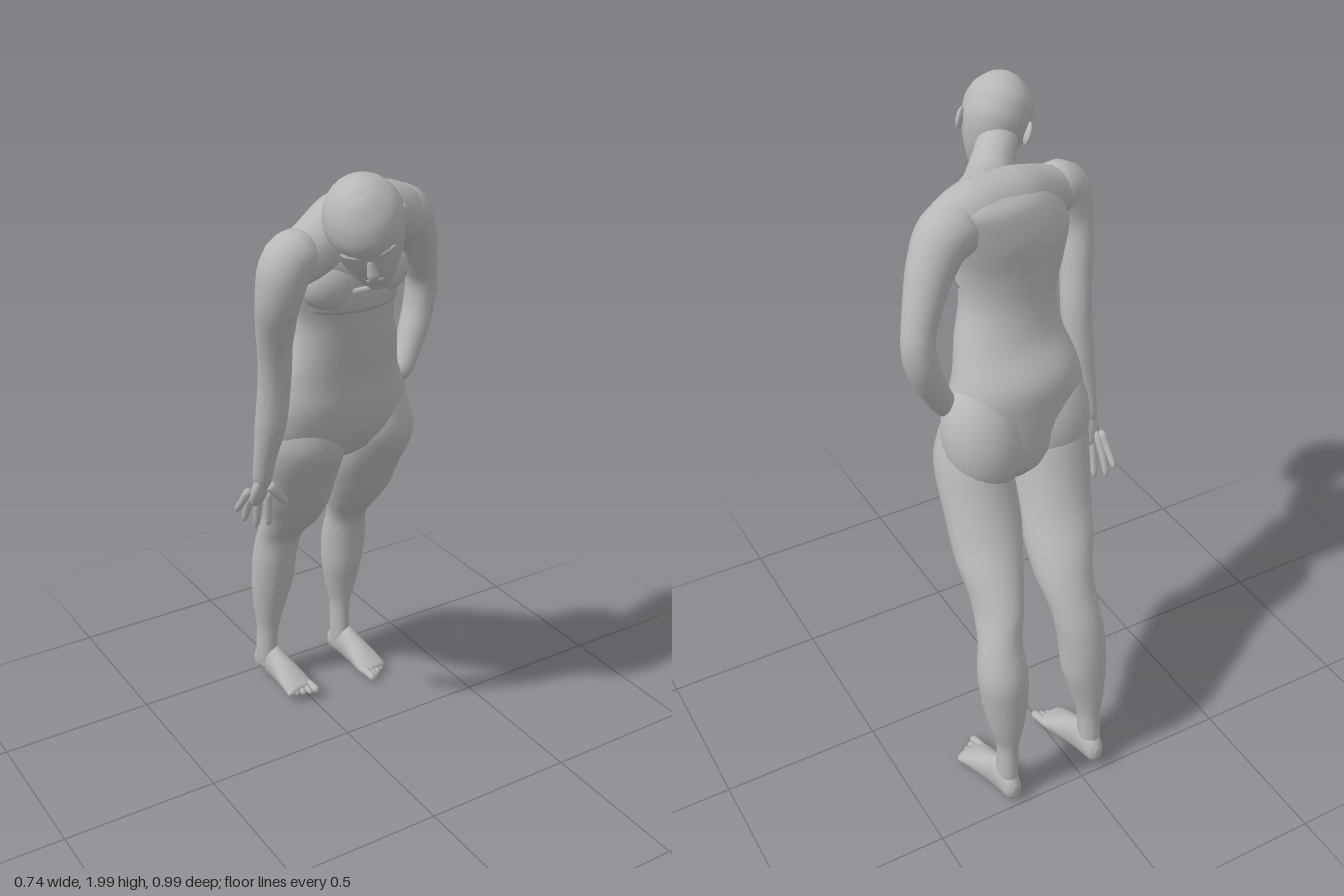
import * as THREE from 'three';
import { mergeVertices } from 'three/addons/utils/BufferGeometryUtils.js';

const skin = new THREE.MeshStandardMaterial({ color: 0xb8b8b8 });
skin.name = 'plain grey';

// Welds seams so that the normals are smooth all round
function smooth(geo) {
  geo.deleteAttribute('uv');
  geo.deleteAttribute('normal');
  const g = mergeVertices(geo, 1e-5);
  g.computeVertexNormals();
  return g;
}

function add(parent, name, geo) {
  const mesh = new THREE.Mesh(geo, skin);
  mesh.name = name;
  parent.add(mesh);
  return mesh;
}

// Horizontal ellipses joined along y; station = [y, cx, cz, rx, rz, yaw]
function loft(stations, steps = 28, sides = 24) {
  const list = stations[0][0] > stations.at(-1)[0] ? [...stations].reverse() : stations;
  const centre = new THREE.CatmullRomCurve3(list.map(s => new THREE.Vector3(s[1], s[0], s[2])));
  const size = new THREE.CatmullRomCurve3(list.map(s => new THREE.Vector3(s[3], s[4], s[5] || 0)));
  const pos = [], idx = [];
  for (let k = 0; k <= steps + 2; k++) {
    const t = Math.min(1, Math.max(0, (k - 1) / steps));
    const c = centre.getPoint(t), r = size.getPoint(t);
    const end = k === 0 || k === steps + 2 ? 0 : 1;
    for (let j = 0; j < sides; j++) {
      const a = j / sides * Math.PI * 2;
      const u = end * r.x * Math.cos(a), v = end * r.y * Math.sin(a);
      pos.push(c.x + u * Math.cos(r.z) + v * Math.sin(r.z), c.y, c.z - u * Math.sin(r.z) + v * Math.cos(r.z));
      if (k < steps + 2) {
        const p = k * sides + j, q = k * sides + (j + 1) % sides;
        idx.push(p, p + sides, q, q, p + sides, q + sides);
      }
    }
  }
  const g = new THREE.BufferGeometry();
  g.setAttribute('position', new THREE.Float32BufferAttribute(pos, 3));
  g.setIndex(idx);
  return smooth(g);
}

// Tapered tube with round ends; radii are spread evenly along the path
function limb(points, radii, cap = 0.12, segs = 28, sides = 14) {
  const curve = new THREE.CatmullRomCurve3(points.map(p => new THREE.Vector3(...p)));
  const g = new THREE.TubeGeometry(curve, segs, 1, sides);
  const p = g.attributes.position, v = new THREE.Vector3();
  for (let i = 0; i < p.count; i++) {
    const t = Math.floor(i / (sides + 1)) / segs;
    const f = t * (radii.length - 1), n = Math.min(radii.length - 2, Math.floor(f));
    const e = Math.min(1, Math.min(t, 1 - t) / cap);
    const r = THREE.MathUtils.lerp(radii[n], radii[n + 1], f - n) * Math.sqrt(1 - (1 - e) ** 2);
    const c = curve.getPointAt(t);
    v.fromBufferAttribute(p, i).sub(c).multiplyScalar(r).add(c);
    p.setXYZ(i, v.x, v.y, v.z);
  }
  return smooth(g);
}

function blob(parent, name, [x, y, z], [rx, ry, rz]) {
  const m = add(parent, name, smooth(new THREE.SphereGeometry(1, 24, 16).scale(rx, ry, rz)));
  m.position.set(x, y, z);
  return m;
}

function makeHead() {
  const head = new THREE.Group();
  head.name = 'head';
  add(head, 'skull', loft([
    [0.122, 0, 0, 0.012, 0.012], [0.11, 0, 0, 0.045, 0.05], [0.07, 0, 0, 0.087, 0.095],
    [0.02, 0, 0, 0.104, 0.118], [-0.03, 0, 0.002, 0.101, 0.117], [-0.07, 0, 0.012, 0.09, 0.106],
    [-0.11, 0, 0.028, 0.073, 0.086], [-0.145, 0, 0.048, 0.053, 0.06], [-0.172, 0, 0.066, 0.028, 0.03],
  ]));
  add(head, 'nose', limb([[0, -0.015, 0.108], [0, -0.045, 0.122], [0, -0.068, 0.129], [0, -0.08, 0.11]],
    [0.008, 0.011, 0.016, 0.013], 0.2, 12, 10));
  blob(head, 'lips', [0, -0.108, 0.107], [0.026, 0.012, 0.012]);
  blob(head, 'chin', [0, -0.15, 0.085], [0.03, 0.023, 0.022]);
  for (const s of [-1, 1]) {
    blob(head, 'brow', [s * 0.04, -0.01, 0.099], [0.032, 0.01, 0.012]).rotation.y = s * 0.4;
    blob(head, 'eye', [s * 0.038, -0.034, 0.096], [0.02, 0.011, 0.01]).rotation.y = s * 0.4;
    const ear = blob(head, 'ear', [s * 0.1, -0.045, -0.025], [0.01, 0.034, 0.021]);
    ear.rotation.set(-0.2, s * -0.4, 0);
  }
  // Turned to its right, bowed and slightly tilted
  head.rotation.set(0.62, -0.46, 0.25, 'YXZ');
  head.position.set(-0.19, 1.877, 0.382);
  return head;
}

// side is +1 for left; the big toe lies on the inner edge
function makeFoot(side, x, y, z, yaw) {
  const foot = new THREE.Group();
  foot.name = side > 0 ? 'leftFoot' : 'rightFoot';
  const sole = loft([
    [0, 0, -0.045, 0.012, 0.02], [0.015, 0, -0.047, 0.028, 0.043], [0.05, 0, -0.06, 0.033, 0.06],
    [0.09, 0, -0.06, 0.034, 0.064], [0.13, 0, -0.05, 0.039, 0.055], [0.18, 0, -0.037, 0.048, 0.041],
    [0.22, 0, -0.025, 0.052, 0.027], [0.25, 0, -0.017, 0.046, 0.015],
  ]).rotateX(Math.PI / 2);
  const p = sole.attributes.position;
  for (let i = 0; i < p.count; i++) p.setY(i, Math.max(0, p.getY(i)));
  sole.computeVertexNormals();
  add(foot, 'sole', sole);
  for (let i = 0; i < 5; i++) {
    const tx = side * (-0.037 + i * 0.02), r = i === 0 ? 0.014 : 0.0105;
    add(foot, 'toe', limb([[tx, 0.022, 0.21], [tx, 0.022, 0.25 - i * 0.007], [tx, r, 0.29 - i * 0.011]],
      [r, r, r], 0.2, 10, 8));
  }
  foot.position.set(x, y, z);
  foot.rotation.y = yaw;
  return foot;
}

export function createModel() {
  const body = new THREE.Group();
  body.name = 'standingFigure';

  // Trunk, leaning forward with the shoulders twisted against the hips
  add(body, 'torso', loft([
    [1.85, 0.05, 0.035, 0.06, 0.04, 0.28], [1.8, 0.01, 0.045, 0.175, 0.108, 0.3],
    [1.7, -0.045, 0.05, 0.198, 0.127, 0.28], [1.6, -0.048, 0.05, 0.177, 0.124, 0.25],
    [1.5, -0.03, 0.036, 0.155, 0.118, 0.2], [1.4, -0.013, 0.005, 0.171, 0.122, 0.14],
    [1.3, -0.01, -0.042, 0.2, 0.14, 0.1], [1.2, 0, -0.056, 0.229, 0.135, 0.07],
    [1.1, 0.017, -0.076, 0.237, 0.118, 0.05], [1.03, 0.027, -0.098, 0.17, 0.088, 0.05],
    [0.99, 0.035, -0.11, 0.08, 0.045, 0.05],
  ], 44, 32));
  add(body, 'shoulderGirdle', limb(
    [[-0.335, 1.69, 0.17], [-0.2, 1.73, 0.128], [-0.04, 1.77, 0.06], [0.1, 1.775, 0.03], [0.22, 1.735, 0.005]],
    [0.06, 0.078, 0.093, 0.09, 0.07], 0.12, 36, 20));
  add(body, 'neck', limb(
    [[-0.18, 1.85, 0.34], [-0.11, 1.79, 0.265], [-0.04, 1.757, 0.175], [0.02, 1.755, 0.095], [0.07, 1.75, 0.03]],
    [0.06, 0.062, 0.072, 0.088, 0.09], 0.12, 28, 20));
  // Thin band over the front of the ribs only
  add(body, 'chestBand', loft([
    [1.62, -0.045, 0.076, 0.168, 0.106, 0.25], [1.58, -0.04, 0.073, 0.164, 0.106, 0.24],
    [1.545, -0.034, 0.066, 0.156, 0.104, 0.22],
  ], 6, 32));
  blob(body, 'rightChest', [-0.143, 1.63, 0.138], [0.092, 0.072, 0.055]);
  blob(body, 'leftChest', [0.032, 1.64, 0.118], [0.088, 0.072, 0.058]);
  blob(body, 'rightSeat', [-0.1, 1.14, -0.085], [0.128, 0.175, 0.106]).rotation.x = 0.3;
  blob(body, 'leftSeat', [0.13, 1.14, -0.103], [0.124, 0.175, 0.114]).rotation.x = 0.3;
  body.add(makeHead());

  // Legs slope back to the knees, then drop straight
  add(body, 'rightLeg', loft([
    [1.28, -0.11, -0.045, 0.04, 0.04], [1.17, -0.11, -0.065, 0.1, 0.095], [1.05, -0.097, -0.088, 0.125, 0.122],
    [0.9, -0.073, -0.165, 0.117, 0.108],
    [0.8, -0.053, -0.228, 0.107, 0.113], [0.7, -0.033, -0.298, 0.088, 0.098], [0.6, -0.037, -0.37, 0.075, 0.073],
    [0.5, -0.045, -0.395, 0.074, 0.073], [0.4, -0.047, -0.41, 0.071, 0.068], [0.3, -0.055, -0.422, 0.054, 0.055],
    [0.2, -0.06, -0.43, 0.035, 0.043], [0.1, -0.062, -0.435, 0.034, 0.042], [0.05, -0.062, -0.435, 0.028, 0.035],
  ], 48));
  add(body, 'leftLeg', loft([
    [1.28, 0.13, -0.055, 0.04, 0.04], [1.17, 0.14, -0.07, 0.095, 0.1], [1.05, 0.157, -0.088, 0.115, 0.122],
    [0.9, 0.168, -0.17, 0.113, 0.11],
    [0.8, 0.187, -0.235, 0.098, 0.113], [0.7, 0.203, -0.312, 0.075, 0.099], [0.6, 0.23, -0.38, 0.066, 0.07],
    [0.5, 0.238, -0.41, 0.076, 0.077], [0.4, 0.235, -0.418, 0.071, 0.07], [0.3, 0.235, -0.428, 0.054, 0.055],
    [0.2, 0.233, -0.43, 0.031, 0.042], [0.1, 0.235, -0.432, 0.032, 0.042], [0.04, 0.235, -0.432, 0.026, 0.035],
  ], 48));
  body.add(makeFoot(-1, -0.065, 0.018, -0.495, 0.15));
  body.add(makeFoot(1, 0.232, 0, -0.488, 0.14));

  // Right arm hangs down with an open hand
  add(body, 'rightArm', limb(
    [[-0.2, 1.735, 0.128], [-0.28, 1.72, 0.152], [-0.308, 1.62, 0.145], [-0.297, 1.5, 0.1], [-0.281, 1.37, 0.065],
      [-0.282, 1.22, 0.04], [-0.29, 1.08, 0.008], [-0.288, 0.97, -0.022]],
    [0.075, 0.072, 0.058, 0.049, 0.047, 0.046, 0.033, 0.027], 0.07, 40, 18));
  const hand = new THREE.Group();
  hand.name = 'rightHand';
  const palm = blob(hand, 'palm', [-0.288, 0.975, -0.025], [0.04, 0.068, 0.022]);
  palm.rotation.set(0.4, 0.5, 0);
  [[-0.318, 0.865, -0.13], [-0.3, 0.83, -0.115], [-0.275, 0.815, -0.085], [-0.25, 0.83, -0.05]].forEach(([x, y, z], i) => {
    const kx = -0.312 + i * 0.017, kz = -0.05 + i * 0.01;
    add(hand, 'finger', limb([[kx, 0.97, kz], [(kx + x) / 2 - 0.003, 0.91, (kz + z) / 2], [x, y, z]],
      [0.013, 0.012, 0.009], 0.12, 12, 8));
  });
  add(hand, 'thumb', limb([[-0.275, 1.0, -0.005], [-0.242, 0.955, 0.0], [-0.205, 0.912, -0.015]],
    [0.017, 0.014, 0.01], 0.15, 12, 8));
  body.add(hand);

  // Left arm is bent, with the hand tucked against the hip
  add(body, 'leftArm', limb(
    [[0.1, 1.765, 0.025], [0.185, 1.745, 0], [0.24, 1.68, -0.026], [0.29, 1.58, -0.062], [0.315, 1.5, -0.084],
      [0.308, 1.42, -0.087], [0.27, 1.33, -0.07], [0.225, 1.25, -0.05], [0.19, 1.21, -0.045]],
    [0.085, 0.084, 0.07, 0.058, 0.049, 0.049, 0.046, 0.039, 0.034], 0.07, 48, 18));

  return body;
}
